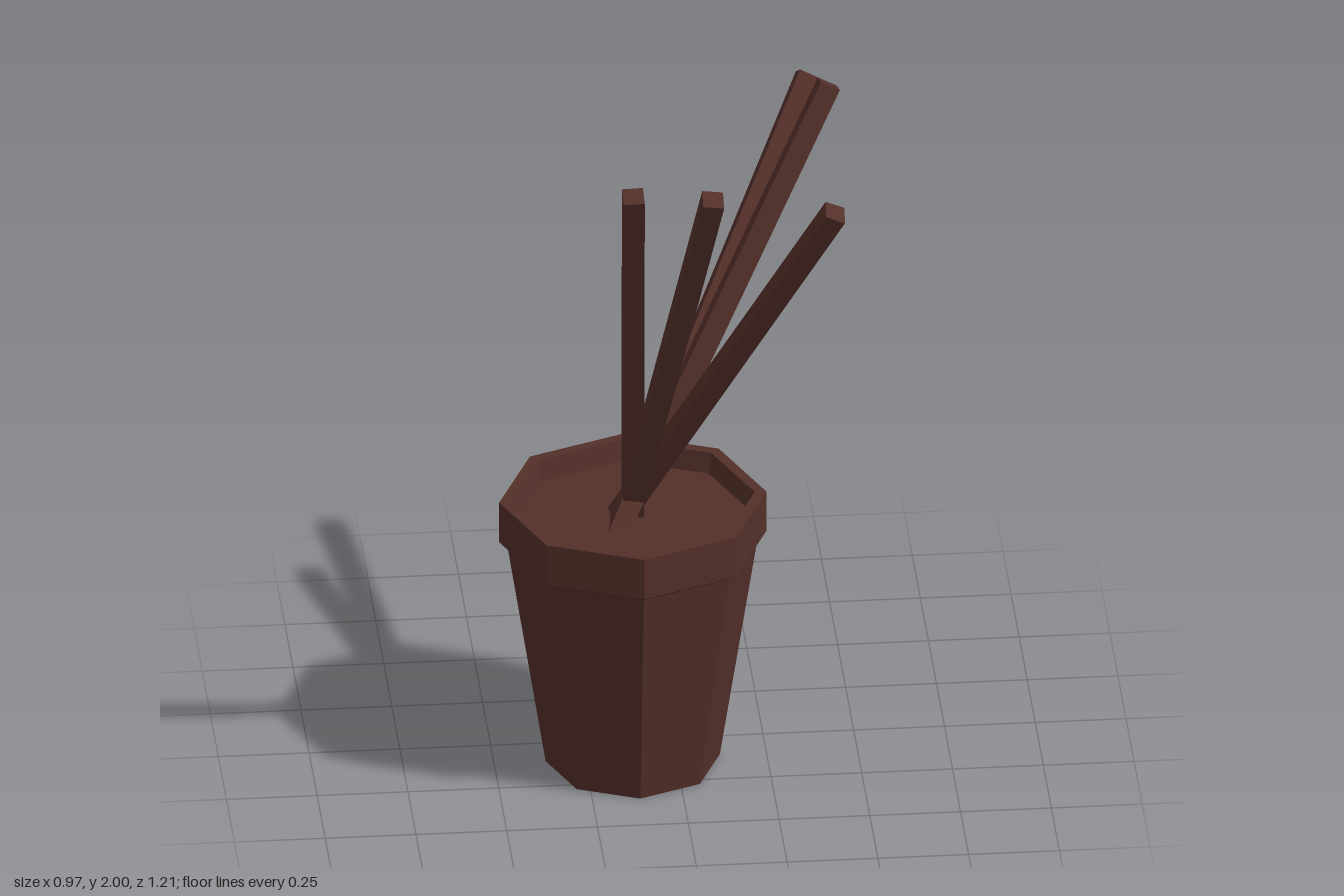
import * as THREE from 'three';

const brown = new THREE.MeshStandardMaterial({ color: 0x54302a });
brown.name = 'dark brown';

// Faceted mesh: every face gets its own flat normals
function faceted(name, geometry) {
  const flat = geometry.index ? geometry.toNonIndexed() : geometry;
  flat.computeVertexNormals();
  const mesh = new THREE.Mesh(flat, brown);
  mesh.name = name;
  return mesh;
}

// Eight-sided turned shape from [radius, height] pairs
function turned(name, profile) {
  const points = profile.map(([r, y]) => new THREE.Vector2(r, y));
  return faceted(name, new THREE.LatheGeometry(points, 8));
}

export function createModel() {
  const model = new THREE.Group();
  model.name = 'pottedSticks';
  const potX = -0.118, potZ = 0.106;

  // Octagonal pot: tapered body, overhanging rim, soil
  const pot = new THREE.Group();
  pot.name = 'pot';
  pot.position.set(potX, 0, potZ);
  pot.add(turned('body', [[0, 0], [0.24, 0], [0.345, 0.672]]));
  pot.add(turned('rim', [[0.345, 0.672], [0.368, 0.687], [0.368, 0.81], [0.336, 0.81], [0.325, 0.75]]));
  pot.add(turned('soil', [[0.325, 0.75], [0, 0.75]]));
  model.add(pot);

  // Square sticks fanning out through one crossing point above the soil
  const crossing = new THREE.Vector3(potX, 0.81, potZ);
  const up = new THREE.Vector3(0, 1, 0);
  const tips = [
    [-0.157, 1.99, 0.565],
    [0.062, 1.975, 0.575],
    [0.403, 1.89, 0.52],
    [0.452, 1.89, -0.23],
    [0.424, 1.735, -0.577],
  ];
  tips.forEach((tip, i) => {
    const end = new THREE.Vector3(...tip);
    const dir = end.clone().sub(crossing).normalize();
    const start = crossing.clone().addScaledVector(dir, -0.09 / dir.y);
    const stick = faceted('stick' + (i + 1), new THREE.BoxGeometry(0.058, start.distanceTo(end), 0.058));
    stick.position.copy(start).lerp(end, 0.5);
    stick.quaternion.setFromUnitVectors(up, dir);
    model.add(stick);
  });

  return model;
}
